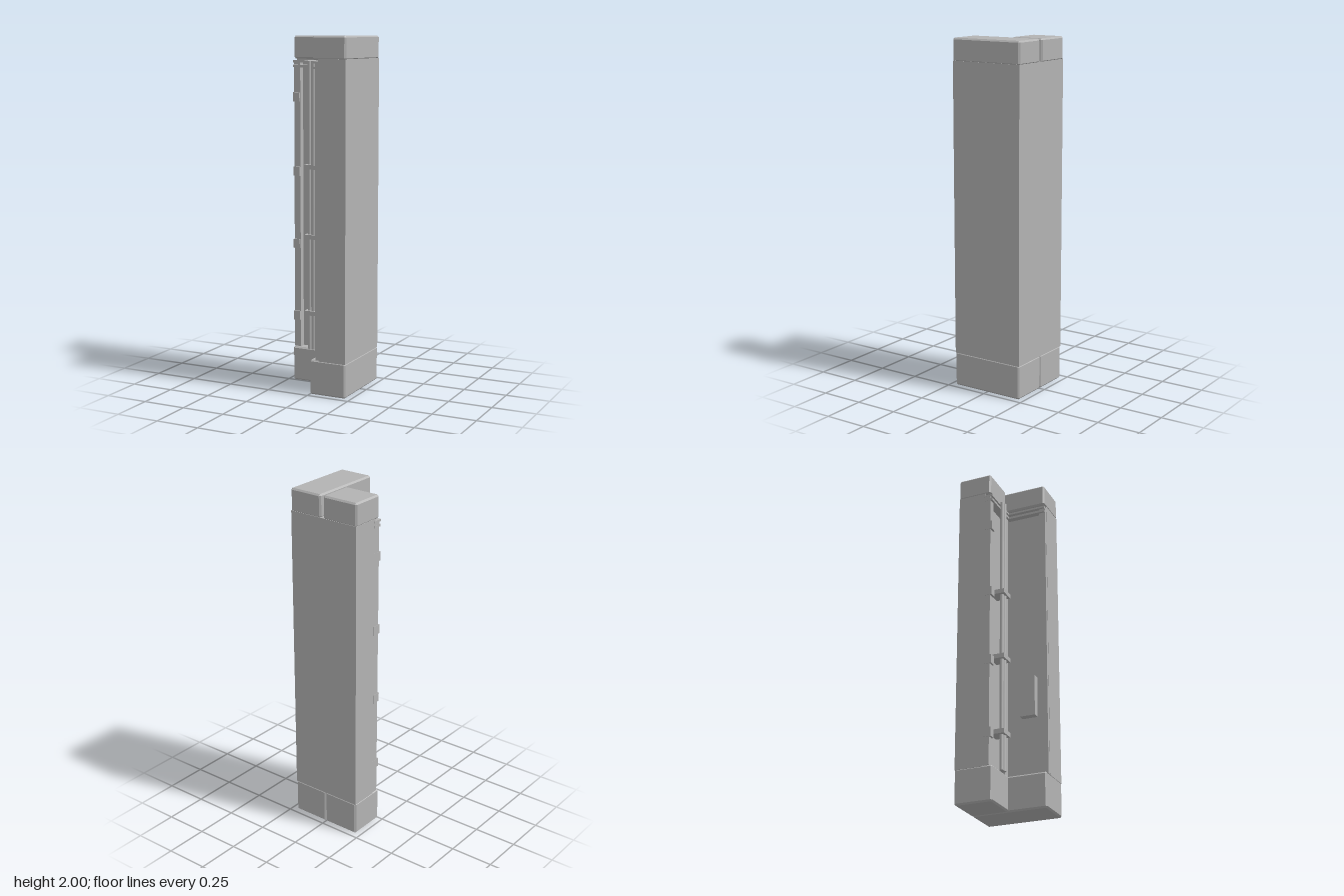
import * as THREE from 'three';
import { ConvexGeometry } from 'three/addons/geometries/ConvexGeometry.js';

const concrete = new THREE.MeshStandardMaterial({ color: 0xb3b3b3 });
concrete.name = 'concrete grey';

export function createModel() {
  const model = new THREE.Group();
  model.name = 'cornerPillar';

  const add = (name, geometry) => {
    const mesh = new THREE.Mesh(geometry, concrete);
    mesh.name = name;
    model.add(mesh);
    return mesh;
  };

  // Plain box given by its limits on each axis
  const box = (name, [x0, x1], [y0, y1], [z0, z1]) => {
    const mesh = add(name, new THREE.BoxGeometry(x1 - x0, y1 - y0, z1 - z0));
    mesh.position.set((x0 + x1) / 2, (y0 + y1) / 2, (z0 + z1) / 2);
  };

  // Box with every edge chamfered by b
  const chamferBox = (name, xs, ys, zs, b = 0.009) => {
    const points = [];
    const inset = (range, i) => range[i] + (i ? -b : b);
    for (let i = 0; i < 2; i++) for (let j = 0; j < 2; j++) for (let k = 0; k < 2; k++) {
      points.push(
        new THREE.Vector3(xs[i], inset(ys, j), inset(zs, k)),
        new THREE.Vector3(inset(xs, i), ys[j], inset(zs, k)),
        new THREE.Vector3(inset(xs, i), inset(ys, j), zs[k]));
    }
    add(name, new ConvexGeometry(points));
  };

  // Base blocks and top caps
  chamferBox('rightWingBase', [0, 0.22], [0, 0.2], [-0.22, 0.22]);
  chamferBox('leftWingBase', [-0.22, 0], [0, 0.2], [-0.22, 0]);
  chamferBox('rightWingCap', [0.018, 0.22], [1.87, 2], [-0.22, 0.22]);
  chamferBox('leftWingCap', [-0.22, 0], [1.87, 2], [-0.22, -0.02]);

  // L-shaped shaft with recessed inner walls
  const plan = new THREE.Shape([
    [-0.219, 0.219], [-0.219, 0.055], [0.055, 0.055],
    [0.055, -0.219], [0.219, -0.219], [0.219, 0.219],
  ].map(([x, y]) => new THREE.Vector2(x, y)));
  const shaft = new THREE.ExtrudeGeometry(plan, { depth: 1.68, bevelEnabled: false });
  shaft.rotateX(-Math.PI / 2);
  add('shaft', shaft).position.y = 0.195;

  // Frame posts standing proud of the recessed walls
  const span = [0.2, 1.86];
  box('leftEdgePost', [-0.219, -0.18], span, [-0.06, -0.02]);
  box('cornerPost', [-0.003, 0.034], span, [-0.06, -0.02]);
  box('frontEdgePost', [0.034, 0.06], span, [0.18, 0.218]);

  // Clamps around the left edge post
  for (const y of [0.385, 0.81, 1.23, 1.655])
    box('postClamp', [-0.221, -0.181], [y - 0.026, y + 0.026], [-0.06, -0.009]);

  // Twin pipes with brackets
  for (const [x, r] of [[-0.108, 0.011], [-0.082, 0.016]]) {
    const pipe = add('pipe', new THREE.CylinderGeometry(r, r, 1.66, 12));
    pipe.position.set(x, 1.03, 0.005);
  }
  for (const y of [0.415, 0.86, 1.262])
    box('pipeBracket', [-0.134, -0.047], [y - 0.013, y + 0.013], [-0.06, 0.03]);

  // Rails under the caps, along both inner walls
  for (const [y0, y1] of [[1.822, 1.836], [1.85, 1.862]]) {
    box('leftRail', [-0.22, 0.034], [y0, y1], [-0.06, -0.008]);
    box('rightRail', [0.022, 0.06], [y0, y1], [-0.02, 0.217]);
  }

  // Wall box on the inner face of the right wing
  box('wallBox', [0.014, 0.06], [0.54, 0.775], [0.06, 0.15]);

  return model;
}
